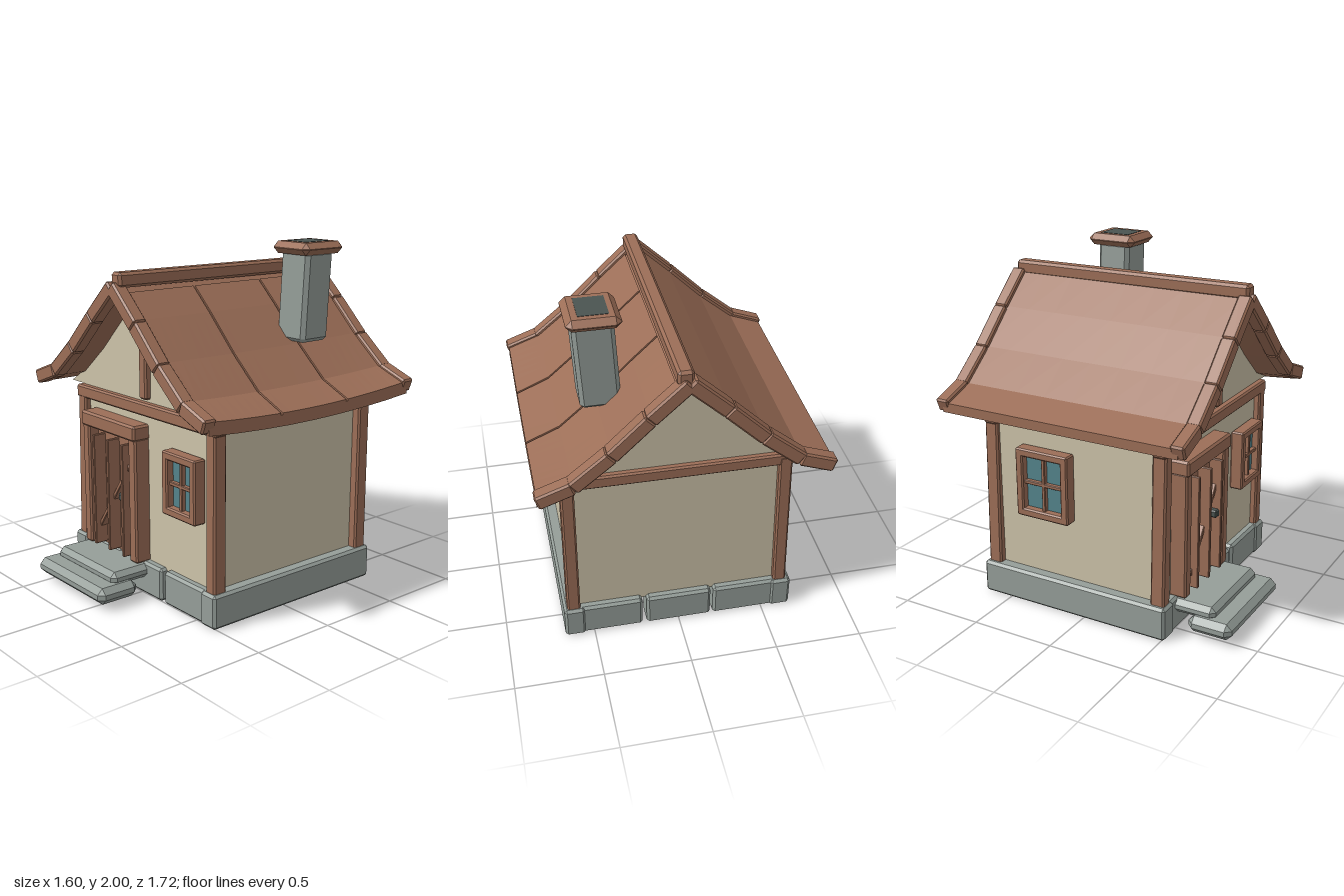
import * as THREE from 'three';
import { ConvexGeometry } from 'three/addons/geometries/ConvexGeometry.js';

const material = (name, color) => Object.assign(new THREE.MeshStandardMaterial({ color }), { name });

// Box with every edge chamfered by b
function chamferBox(w, h, d, b) {
  const pts = [];
  for (const sx of [-1, 1]) for (const sy of [-1, 1]) for (const sz of [-1, 1]) {
    const x = w / 2, y = h / 2, z = d / 2;
    pts.push(
      new THREE.Vector3(sx * x, sy * (y - b), sz * (z - b)),
      new THREE.Vector3(sx * (x - b), sy * y, sz * (z - b)),
      new THREE.Vector3(sx * (x - b), sy * (y - b), sz * z));
  }
  return new ConvexGeometry(pts);
}

// Move vertices by a rule and refresh the flat normals
function deform(geo, rule) {
  const p = geo.attributes.position, v = new THREE.Vector3();
  for (let i = 0; i < p.count; i++) {
    rule(v.fromBufferAttribute(p, i));
    p.setXYZ(i, v.x, v.y, v.z);
  }
  geo.computeVertexNormals();
  return geo;
}

// Extrude a closed [x, y] outline between two z values
function prism(points, z0, z1, steps = 1) {
  const shape = new THREE.Shape(points.map(([x, y]) => new THREE.Vector2(x, y)));
  const geo = new THREE.ExtrudeGeometry(shape, { depth: z1 - z0, steps, bevelEnabled: false });
  return geo.translate(0, 0, z0);
}

export function createModel() {
  const wood = material('wood', 0x9c6e57);
  const plaster = material('plaster', 0xcdc3a9);
  const stone = material('stone', 0x959e99);
  const glass = material('glass', 0x54848c);
  const iron = material('dark iron', 0x4b5451);

  const house = new THREE.Group();
  house.name = 'cottage';

  const add = (name, geo, mat, parent = house) => {
    const mesh = new THREE.Mesh(geo, mat);
    mesh.name = name;
    parent.add(mesh);
    return mesh;
  };
  // Chamfered block given by its limits on each axis
  const block = (name, [x0, x1], [y0, y1], [z0, z1], mat, b = 0.01, parent = house) => {
    const mesh = add(name, chamferBox(x1 - x0, y1 - y0, z1 - z0, b), mat, parent);
    mesh.position.set((x0 + x1) / 2, (y0 + y1) / 2, (z0 + z1) / 2);
    return mesh;
  };

  // Stone footing: long side blocks, three blocks at front and back
  for (const s of [-1, 1])
    block('sideFooting', s < 0 ? [-0.67, -0.55] : [0.55, 0.67], [0.005, 0.2], [-0.68, 0.52], stone, 0.015);
  for (const [z0, z1] of [[0.38, 0.51], [-0.67, -0.54]])
    for (const xs of [[-0.58, -0.205], [-0.19, 0.19], [0.215, 0.58]])
      block('footingBlock', xs, [0.005, 0.2], [z0, z1], stone, 0.015);

  // Door steps
  block('lowerStep', [-0.565, 0.105], [0.04, 0.135], [0.6, 0.86], stone, 0.033);
  block('upperStep', [-0.52, 0.06], [0.11, 0.19], [0.46, 0.745], stone, 0.028);

  // Plaster walls
  const walls = add('walls', new THREE.BoxGeometry(1.2, 0.96, 1.09), plaster);
  walls.position.set(0, 0.66, -0.08);

  // Curved roof line from ridge to eave
  const line = [[0, 1.785], [0.2, 1.6], [0.4, 1.405], [0.6, 1.24], [0.785, 1.172]];
  const mirrored = line.slice(1).reverse().map(([x, y]) => [-x, y]);
  const gable = [[-0.74, 1.13], ...mirrored.slice(1).map(([x, y]) => [x, y - 0.022]),
    ...line.slice(0, 4).map(([x, y]) => [x, y - 0.022]), [0.74, 1.13]];
  add('gable', prism(gable.reverse(), -0.625, 0.465), plaster);

  // Corner posts, slightly leaning at the left
  for (const z of [0.46, -0.62]) {
    for (const s of [-1, 1]) {
      const geo = deform(chamferBox(0.075, 0.92, 0.085, 0.01), v => { v.x += s < 0 ? v.y * 0.022 : 0; });
      add('cornerPost', geo, wood).position.set(s < 0 ? -0.595 : 0.613, 0.65, z);
    }
    // Cross beam under the gable
    const beam = block('crossBeam', [-0.635, 0.657], [1.057, 1.132], [z - 0.04, z + 0.045], wood);
    beam.rotation.z = 0.006;
  }
  block('gablePost', [-0.01, 0.055], [1.15, 1.645], [0.44, 0.5], wood);

  // Roof slabs; the right one sags and carries three raised panels
  const slab = (s, lift, drop, x0, z0, z1) => {
    const side = line.map(([x, y], i) => [i ? x : x0, i ? y : y - x0 * 0.925]);
    const top = side.map(([x, y]) => [s * x, y + lift]);
    const under = side.map(([x, y]) => [s * x, y - drop]).reverse();
    return deform(prism([...top, ...under], z0, z1, 8), v => {
      const t = Math.max(0, 1 - ((v.z + 0.08) / 0.73) ** 2);
      if (s > 0) v.y -= 0.035 * t * (v.x / 0.785) ** 2;
    });
  };
  add('leftRoof', slab(-1, 0.02, 0.035, 0, -0.82, 0.65), wood);
  add('rightRoof', slab(1, 0.015, 0.045, 0, -0.82, 0.65), wood);
  for (const [z0, z1] of [[-0.8, -0.333], [-0.32, 0.153], [0.166, 0.63]])
    add('roofPanel', slab(1, 0.027, 0, 0.06, z0, z1), wood);

  // Segmented gable trim following the roof line
  for (const z of [0.65, -0.82]) for (const s of [-1, 1]) for (let i = 0; i < 4; i++) {
    const [ax, ay] = line[i], [bx, by] = line[i + 1];
    const length = Math.hypot(bx - ax, by - ay);
    const piece = add('roofTrim', chamferBox(length + 0.005, 0.082, 0.082, 0.01), wood);
    piece.position.set(s * (ax + bx) / 2, (ay + by) / 2, z);
    piece.rotation.z = s * Math.atan2(by - ay, bx - ax);
  }
  const ridge = block('ridgeBeam', [-0.02, 0.065], [1.778, 1.86], [-0.84, 0.665], wood, 0.015);
  ridge.rotation.x = -0.005;

  // Leaning chimney with a flared cap
  const stack = deform(chamferBox(0.22, 0.51, 0.205, 0.022), v => { v.x += v.y * 0.06; });
  add('chimneyStack', stack, stone).position.set(0.4, 1.695, -0.365);
  block('chimneyCap', [0.27, 0.555], [1.93, 1.998], [-0.525, -0.215], wood, 0.032);
  const flue = add('chimneyOpening', new THREE.BoxGeometry(0.16, 0.006, 0.185), iron);
  flue.position.set(0.41, 1.997, -0.37);

  // Door with frame, battens, brace and handle
  const door = new THREE.Group();
  door.name = 'door';
  house.add(door);
  block('leftJamb', [-0.495, -0.43], [0.195, 0.93], [0.45, 0.56], wood, 0.01, door);
  block('rightJamb', [-0.04, 0.03], [0.195, 0.93], [0.45, 0.56], wood, 0.01, door);
  block('lintel', [-0.497, 0.032], [0.915, 1.005], [0.45, 0.57], wood, 0.012, door);
  block('doorLeaf', [-0.435, -0.035], [0.195, 0.92], [0.45, 0.495], wood, 0.004, door);
  for (const x of [-0.368, -0.226, -0.085])
    block('batten', [x - 0.011, x + 0.011], [0.21, 0.88], [0.48, 0.575], wood, 0.004, door);
  const brace = add('brace', chamferBox(0.57, 0.024, 0.05, 0.004), wood, door);
  brace.position.set(-0.227, 0.522, 0.515);
  brace.rotation.z = Math.atan2(0.47, 0.33);
  block('handle', [-0.137, -0.092], [0.538, 0.583], [0.48, 0.565], iron, 0.008, door);

  // Window built facing +z around its own centre
  const addWindow = (name, w, h) => {
    const win = new THREE.Group();
    win.name = name;
    house.add(win);
    const f = 0.047, x = w / 2, y = h / 2;
    for (const s of [-1, 1]) {
      block('stile', [s * (x - f / 2) - f / 2, s * (x - f / 2) + f / 2], [-y, y], [0, 0.08], wood, 0.008, win);
      block('rail', [-x, x], [s * (y - f / 2) - f / 2, s * (y - f / 2) + f / 2], [0, 0.08], wood, 0.008, win);
    }
    block('mullion', [-0.011, 0.011], [-y + 0.02, y - 0.02], [0.01, 0.06], wood, 0.004, win);
    block('crossbar', [-x + 0.02, x - 0.02], [-0.011, 0.011], [0.01, 0.06], wood, 0.004, win);
    const pane = add('pane', new THREE.BoxGeometry(w - f, h - f, 0.008), glass, win);
    pane.position.z = 0.03;
    return win;
  };
  addWindow('frontWindow', 0.285, 0.36).position.set(0.393, 0.74, 0.465);
  const sideWindow = addWindow('sideWindow', 0.34, 0.405);
  sideWindow.position.set(-0.6, 0.763, -0.25);
  sideWindow.rotation.y = -Math.PI / 2;

  return house;
}
